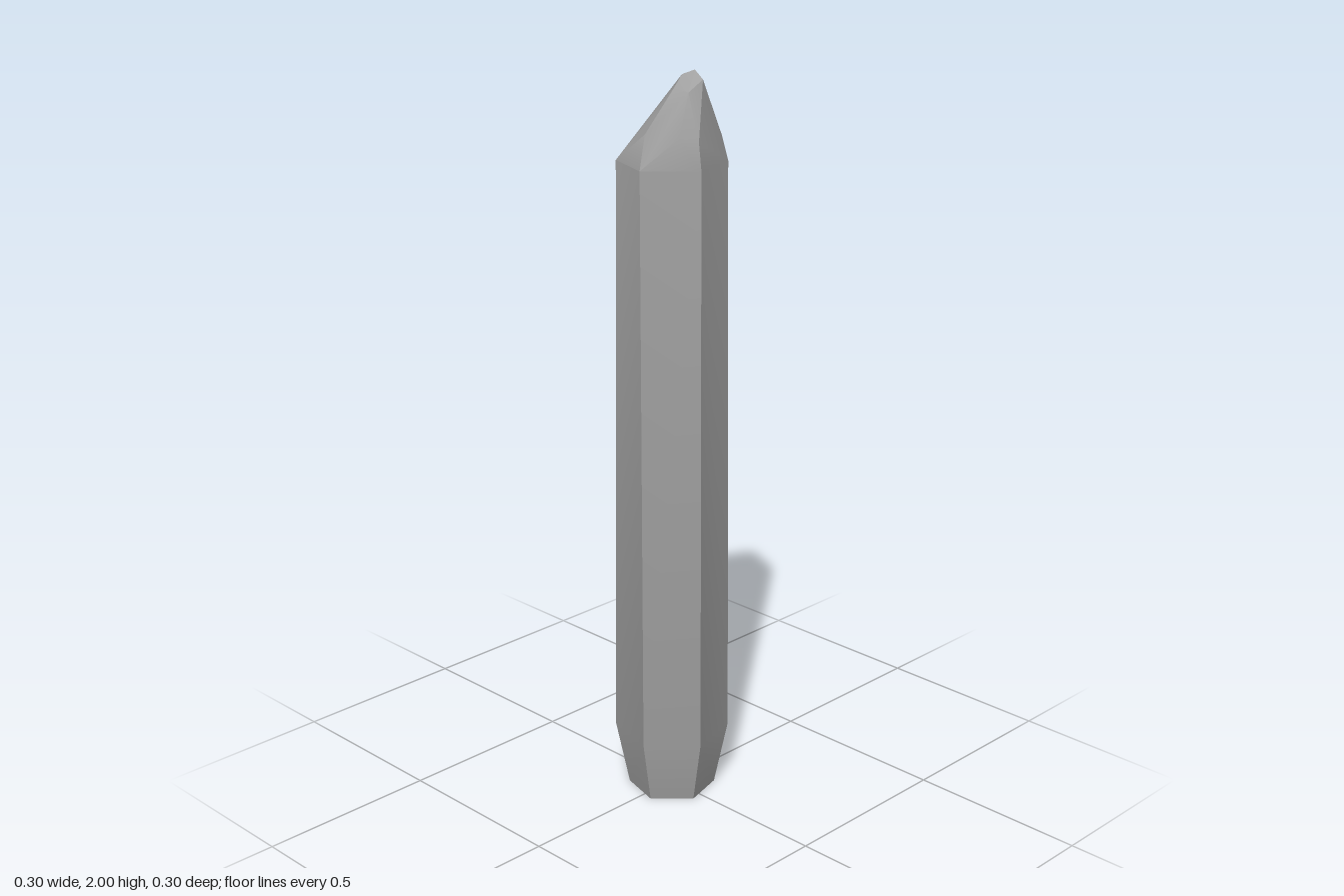
import * as THREE from 'three';
import { ConvexGeometry } from 'three/addons/geometries/ConvexGeometry.js';
import { toCreasedNormals } from 'three/addons/utils/BufferGeometryUtils.js';

export function createModel() {
  const group = new THREE.Group();
  group.name = 'crystal';
  const stone = new THREE.MeshStandardMaterial({ color: 0xa0a0a0 });
  stone.name = 'grey stone';

  const points = [];
  // Regular six-sided foot and lower shaft, slightly turned
  for (const [radius, y] of [[0.118, 0], [0.155, 0.18]]) {
    for (let i = 0; i < 6; i++) {
      const a = THREE.MathUtils.degToRad(-15 + i * 60);
      points.push(new THREE.Vector3(radius * Math.cos(a), y, radius * Math.sin(a)));
    }
  }
  // Narrower shoulder, leaning a little to the front
  for (const [x, z] of [[0.13, -0.02], [0.09, 0.11], [-0.048, 0.15], [-0.153, 0.04], [-0.105, -0.095], [0.035, -0.135]]) {
    points.push(new THREE.Vector3(x, 1.77, z));
  }
  // Uneven facets of the off-centre point
  for (const p of [
    [-0.105, 1.85, 0.01], [-0.08, 1.85, 0.105], [-0.045, 1.84, 0.138], [0.088, 1.83, 0.09],
    [-0.033, 1.96, 0.04], [-0.033, 1.955, 0.09], [0.02, 1.98, 0.088],
    [0.005, 1.988, 0.03], [0.025, 2.0, 0.055],
  ]) points.push(new THREE.Vector3(...p));

  // Sharp lengthwise edges, softly blended shallow facets
  const geometry = toCreasedNormals(new ConvexGeometry(points), THREE.MathUtils.degToRad(28));
  const body = new THREE.Mesh(geometry, stone);
  body.name = 'crystalBody';
  group.add(body);
  return group;
}
